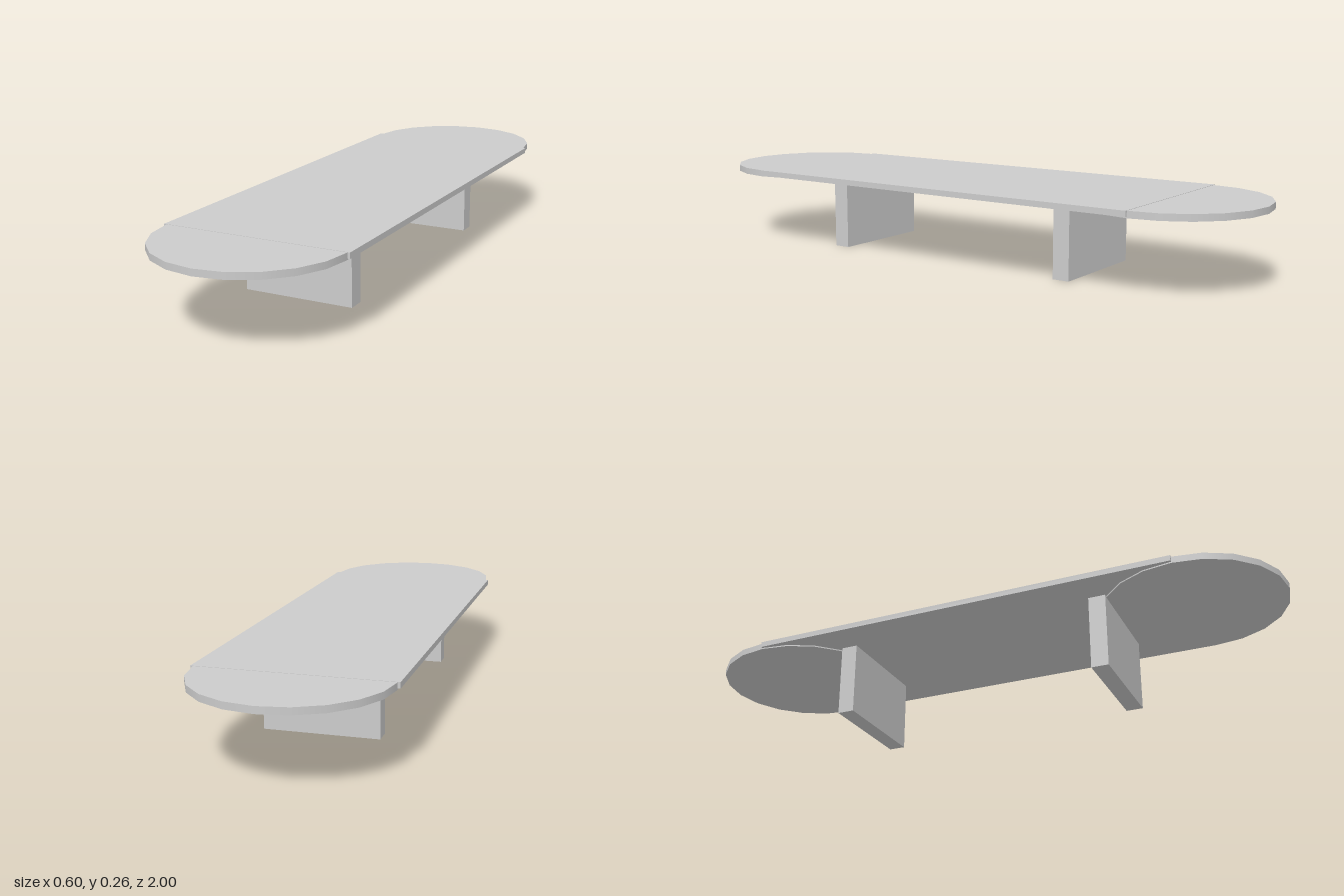
import * as THREE from 'three';

export function createModel() {
  const group = new THREE.Group();
  const material = new THREE.MeshStandardMaterial({ color: 0xcccccc });

  const add = (name, geometry, x, y, z) => {
    const mesh = new THREE.Mesh(geometry, material);
    mesh.name = name;
    mesh.position.set(x, y, z);
    group.add(mesh);
  };

  // Long flat middle of the table top
  add('tabletop', new THREE.BoxGeometry(0.6, 0.018, 1.416), 0, 0.247, 0);

  // Round ends: full discs, slightly thicker than the middle and set just below its surface
  const disc = new THREE.CylinderGeometry(0.292, 0.292, 0.021, 20);
  add('frontRoundEnd', disc, 0, 0.2445, 0.708);
  add('backRoundEnd', disc, 0, 0.2445, -0.708);

  // Slab legs
  const leg = new THREE.BoxGeometry(0.362, 0.24, 0.055);
  add('frontLeg', leg, 0, 0.12, 0.443);
  add('backLeg', leg, 0, 0.12, -0.434);

  return group;
}
